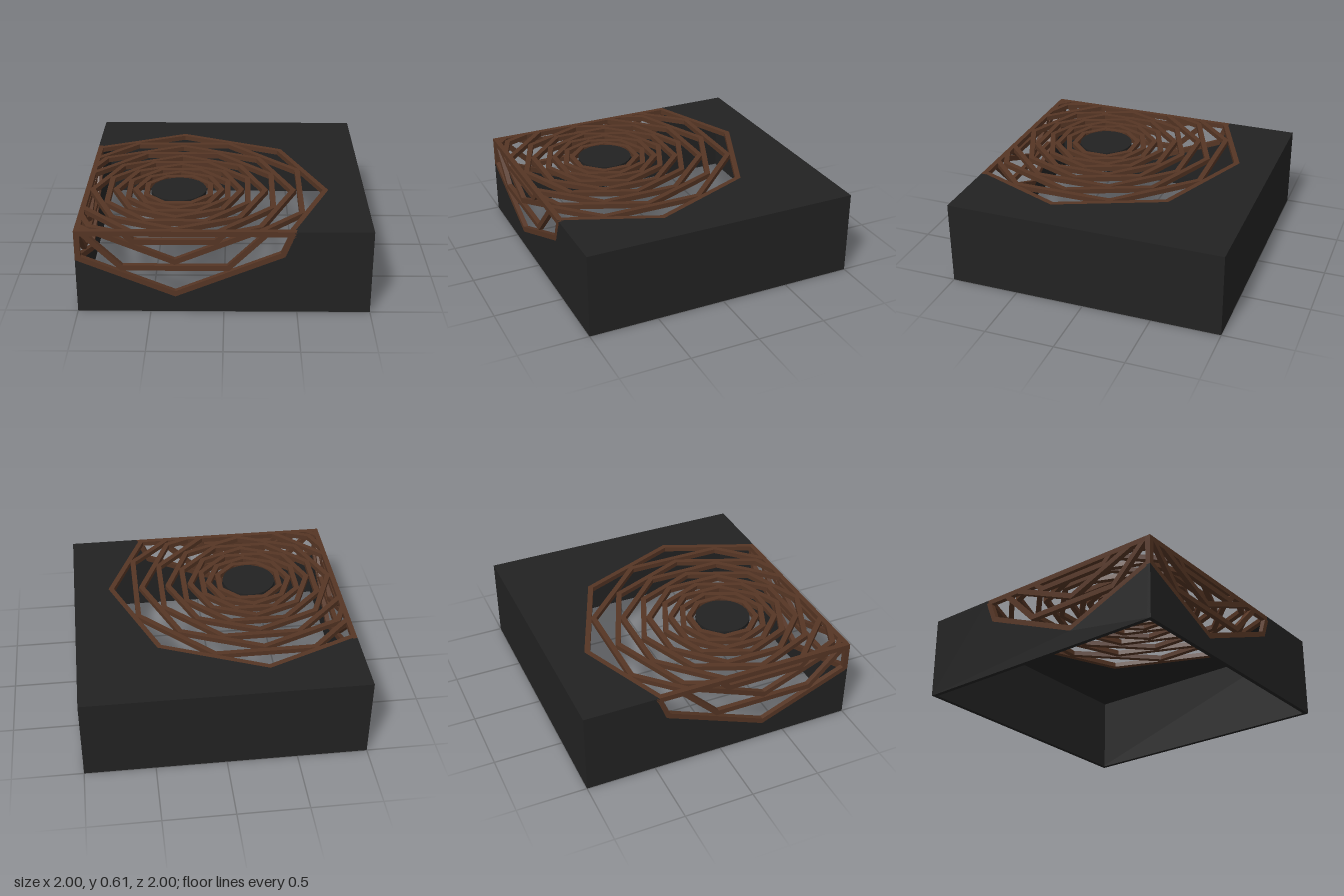
import * as THREE from 'three';
import { mergeGeometries } from 'three/addons/utils/BufferGeometryUtils.js';

const H = 0.61;       // height of the cover
const T = 0.03;       // wall thickness
const DEPTH = 0.035;  // depth of the grille bars
const W = 0.038;      // width of the grille bars
const C = 0.33;       // grille centre offset from the middle

const black = new THREE.MeshStandardMaterial({ color: 0x222222 });
black.name = 'black shell';
const brown = new THREE.MeshStandardMaterial({ color: 0x553524 });
brown.name = 'brown grille';

// extrude a flat outline so that its outer face lies at z = 0
function plate(points, depth) {
  const shape = new THREE.Shape(points.map(([x, y]) => new THREE.Vector2(x, y)));
  return new THREE.ExtrudeGeometry(shape, { depth, bevelEnabled: false }).translate(0, 0, -depth);
}

// keep the part of a convex polygon where sign * p[axis] <= sign * limit
function clip(poly, axis, limit, sign) {
  const out = [];
  poly.forEach((a, i) => {
    const b = poly[(i + 1) % poly.length];
    const da = sign * (limit - a[axis]), db = sign * (limit - b[axis]);
    if (da >= 0) out.push(a);
    if (da * db < 0) {
      const t = da / (da - db);
      out.push([a[0] + (b[0] - a[0]) * t, a[1] + (b[1] - a[1]) * t]);
    }
  });
  return out;
}

// eight mitred bars of an octagon, trimmed to the panel
function octagonBars(cx, cy, R, turned, panel) {
  const bars = [];
  const r = R - W / Math.cos(Math.PI / 8);
  const at = (rad, i) => {
    const a = (i + (turned ? 0.5 : 0)) * Math.PI / 4;
    return [cx + rad * Math.cos(a), cy + rad * Math.sin(a)];
  };
  for (let i = 0; i < 8; i++) {
    let poly = [at(R, i), at(R, i + 1), at(r, i + 1), at(r, i)];
    poly = clip(poly, 0, panel.left, -1);
    if (panel.bottom !== undefined) poly = clip(poly, 1, panel.bottom, -1);
    if (panel.top !== undefined) poly = clip(poly, 1, panel.top, 1);
    if (poly.length > 2) bars.push(plate(poly, DEPTH));
  }
  return bars;
}

const bar = (x0, y0, x1, y1) => plate([[x0, y0], [x1, y0], [x1, y1], [x0, y1]], DEPTH);

// nested octagons, alternately turned by half a side
const RADII = [1.072, 0.958, 0.84, 0.745, 0.64, 0.556, 0.47, 0.40, 0.33, 0.265];

export function createModel() {
  const model = new THREE.Group();
  const add = (name, geometry, material, parent = model) => {
    const mesh = new THREE.Mesh(geometry, material);
    mesh.name = name;
    parent.add(mesh);
    return mesh;
  };

  // top panel with its cut-out, drawn in x and -z
  const top = new THREE.Group();
  top.name = 'topPanel';
  top.rotation.x = -Math.PI / 2;
  top.position.y = H;
  model.add(top);
  add('topWall', plate([[1, -1], [1, 1], [-1, 1], [-1, 0.464], [-C, 0.742],
    [0.428, 0.428], [0.742, -C], [0.464, -1]], T), black, top);
  const topBars = [bar(-1, -1, 0.464, -1 + W), bar(-1, -1 + W, -1 + W, 0.464)];
  RADII.forEach((R, i) => {
    const bars = octagonBars(-C, -C, R, i % 2 === 1, { left: -1, bottom: -1 });
    // the inner rings stand slightly proud
    if (i >= 6) bars.forEach(b => b.translate(0, 0, 0.004));
    topBars.push(...bars);
  });
  add('topGrille', mergeGeometries(topBars), brown, top);

  // solid cap in the middle of the grille
  const cap = add('centreCap', new THREE.CylinderGeometry(0.198, 0.198, T, 24), black);
  cap.position.set(-C, H - T / 2 + 0.004, C);

  // two sides that the grille folds over, the second a mirror of the first
  const outline = [[-1, 0], [1, 0], [1, H], [0.485, H], [0.412, 0.422], [-C, 0.115], [-1, 0.393]];
  const sidePanel = (name, s) => {
    const group = new THREE.Group();
    group.name = name;
    const flip = g => {
      if (s > 0) return g;
      // mirror in x and restore the corner order
      const flat = g.index ? g.toNonIndexed() : g;
      flat.scale(-1, 1, 1);
      const p = flat.attributes.position;
      for (let i = 0; i < p.count; i += 3) {
        const a = new THREE.Vector3().fromBufferAttribute(p, i + 1);
        const b = new THREE.Vector3().fromBufferAttribute(p, i + 2);
        p.setXYZ(i + 1, b.x, b.y, b.z);
        p.setXYZ(i + 2, a.x, a.y, a.z);
      }
      flat.computeVertexNormals();
      return flat;
    };
    add(name + 'Wall', flip(plate(outline, T)), black, group);
    const bars = [bar(-1, H - W, 0.48, H), bar(-1, 0.393, -1 + W, H - W)];
    RADII.slice(0, 4).forEach((R, i) => bars.push(...octagonBars(-C, i ? 1.2 : 1.165,
      i ? R : 1.05, i % 2 === 1, { left: -1, top: H })));
    add(name + 'Grille', flip(mergeGeometries(bars)), brown, group);
    model.add(group);
    return group;
  };
  sidePanel('front', 1).position.z = 1;
  const right = sidePanel('right', -1);
  right.rotation.y = -Math.PI / 2;
  right.position.x = -1;

  // plain back and left walls; the bottom stays open
  add('backWall', new THREE.BoxGeometry(2, H, T), black).position.set(0, H / 2, -1 + T / 2);
  add('leftWall', new THREE.BoxGeometry(T, H, 2), black).position.set(1 - T / 2, H / 2, 0);

  return model;
}
